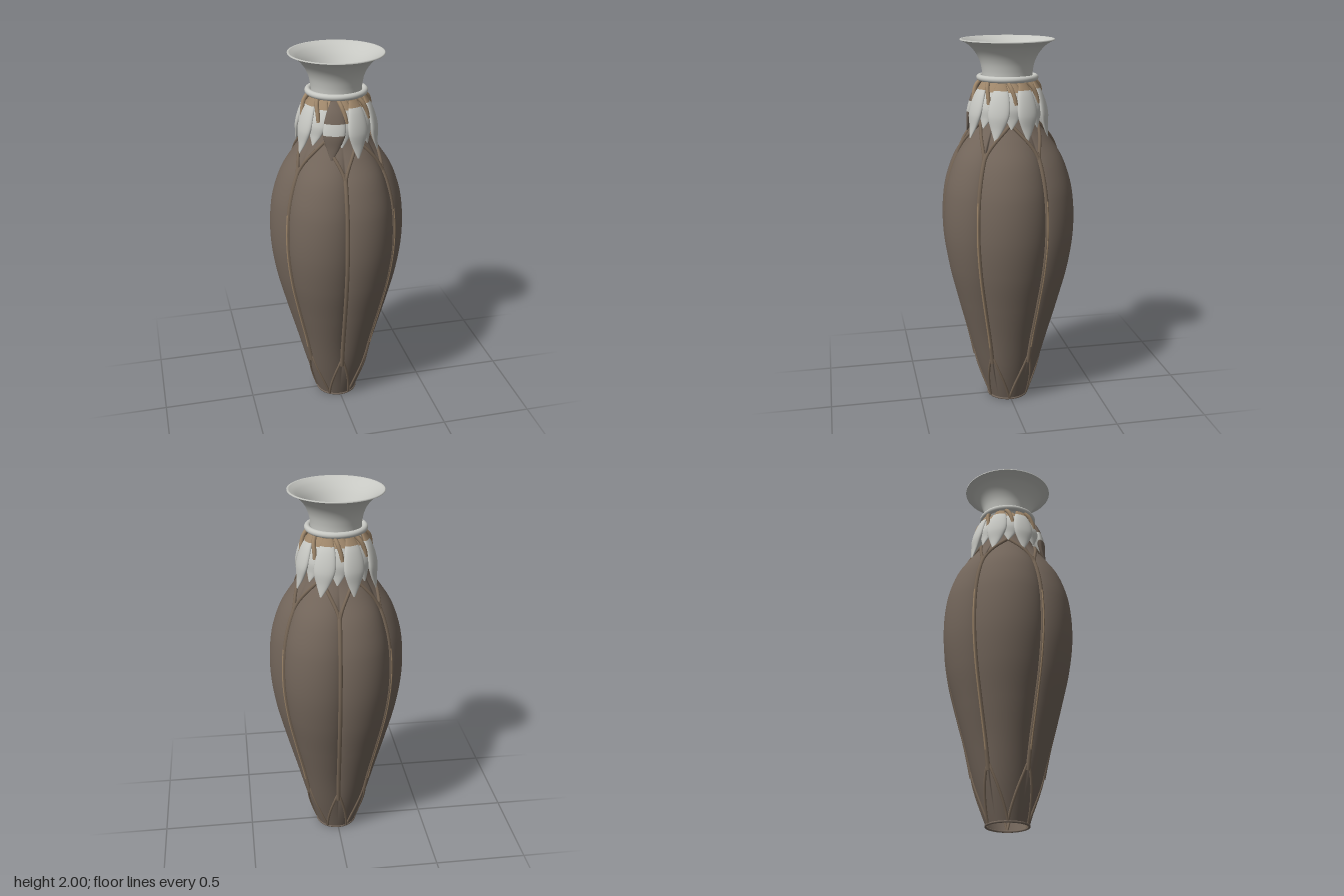
import * as THREE from 'three';
import { ParametricGeometry } from 'three/addons/geometries/ParametricGeometry.js';

const TAU = Math.PI * 2;
const LOBES = 6;
// Groove angles from +z, slightly uneven; the last closes the loop
const GROOVES = [-3.4, 52, 117, 176.6, 232, 297, 356.6].map(d => d * Math.PI / 180);

const smooth = THREE.MathUtils.smoothstep;

// Smooth value along a short list of [position, value] pairs
function curve(pairs) {
  const c = new THREE.CubicInterpolant(pairs.map(p => p[0]), pairs.map(p => p[1]), 1);
  return t => c.evaluate(t)[0];
}

const bodyProfile = curve([
  [0, 0.108], [0.1, 0.14], [0.2, 0.171], [0.4, 0.226], [0.6, 0.282], [0.8, 0.332], [1, 0.358],
  [1.2, 0.349], [1.3, 0.326], [1.4, 0.286], [1.5, 0.22], [1.55, 0.184], [1.6, 0.156], [1.66, 0.135],
]);

// Radius of the six-lobed body at an angle and height
function bodyRadius(angle, y) {
  const a = THREE.MathUtils.euclideanModulo(angle - GROOVES[0], TAU) + GROOVES[0];
  const i = Math.max(0, Math.min(LOBES - 1, GROOVES.findIndex(g => g > a) - 1));
  const lobe = Math.pow(Math.abs(Math.sin(Math.PI * (a - GROOVES[i]) / (GROOVES[i + 1] - GROOVES[i]))), 0.65);
  const swell = smooth(y, 0, 0.45) * (1 - smooth(y, 1.4, 1.62));
  return bodyProfile(y) * (1 - 0.105 * swell * (1 - lobe)) * (1 + 0.022 * swell * Math.cos(a) ** 2);
}

const polar = (a, r, y, target = new THREE.Vector3()) => target.set(Math.sin(a) * r, y, Math.cos(a) * r);

// Petal outline: centre radius and half width from tip (0) to root (1)
const petalRadius = curve([[0, 0.22], [0.2, 0.206], [0.45, 0.195], [0.8, 0.168], [1, 0.142]]);
const petalWidth = curve([[0, 0.004], [0.2, 0.032], [0.45, 0.056], [0.75, 0.048], [1, 0.024]]);

export function createModel() {
  const model = new THREE.Group();
  const material = (name, color, side = THREE.DoubleSide) => {
    const m = new THREE.MeshStandardMaterial({ color, side });
    m.name = name;
    return m;
  };
  const brown = material('brown body', 0x72655a);
  const rib = material('rib brown', 0x766656, THREE.FrontSide);
  const tan = material('tan clay', 0x9e866a);
  const white = material('pale grey', 0xc6c7c2);

  const add = (name, geometry, mat, parent = model) => {
    const mesh = new THREE.Mesh(geometry, mat);
    mesh.name = name;
    parent.add(mesh);
    return mesh;
  };
  const group = name => {
    const g = new THREE.Group();
    g.name = name;
    model.add(g);
    return g;
  };
  const lathe = pts => new THREE.LatheGeometry(pts.map(p => new THREE.Vector2(...p)), 64);

  // Lobed body, hollow and open underneath
  add('body', new ParametricGeometry((u, v, t) => {
    const y = v * 1.66;
    polar(u * TAU, bodyRadius(u * TAU, y), y, t);
  }, 180, 80), brown);
  add('footRim', new THREE.TorusGeometry(0.11, 0.006, 8, 48).rotateX(Math.PI / 2).translate(0, 0.006, 0), brown);

  // Ribs in the grooves, forking around the lobe tips at both ends
  const ribs = group('ribs');
  const tube = (name, pts, r, mat, parent) =>
    add(name, new THREE.TubeGeometry(new THREE.CatmullRomCurve3(pts), 40, r, 8), mat, parent);
  const path = (n, angleAt, y0, y1, lift = 0.004) => Array.from({ length: n }, (_, i) => {
    const y = y0 + (y1 - y0) * i / (n - 1);
    const a = angleAt(i / (n - 1));
    return polar(a, bodyRadius(a, y) + lift, y);
  });
  for (let i = 0; i < LOBES; i++) {
    const a = GROOVES[i];
    const previous = i ? GROOVES[i - 1] : GROOVES[LOBES - 1] - TAU;
    tube('rib', path(16, () => a, 0.25, 1.44, 0.006), 0.012, rib, ribs);
    // Bare clay strand along the side ribs
    if (i % 3) tube('ribStrand', path(12, () => a, 0.35, 1.2, 0.015), 0.005, tan, ribs);
    for (const neighbour of [previous, GROOVES[i + 1]]) {
      const half = (neighbour - a) / 2;
      tube('lowerFork', path(8, t => a + half * (1 - t), 0.01, 0.3, 0.001), 0.007, rib, ribs);
      tube('upperFork', path(8, t => a + half * t * t, 1.38, 1.58), 0.009, rib, ribs);
    }
  }

  // Neck core with a domed top, seen down the mouth
  add('neckCore', lathe([[0.15, 1.58], [0.142, 1.65], [0.136, 1.7], [0.124, 1.735], [0.105, 1.76],
    [0.08, 1.782], [0.05, 1.797], [0.02, 1.804], [0, 1.805]]), tan);

  // Hanging petals, built in bands so each can change colour
  const petals = group('petals');
  const band = (a, v0, v1, mat, tip = 1.5, inset = 0) => add('petal', new ParametricGeometry((u, v, t) => {
    const k = v0 + (v1 - v0) * v;
    const w = petalWidth(k);
    const swirl = a - 0.08 * (1 - k) ** 2;
    const side = w * Math.sin(u * TAU);
    const r = petalRadius(k) - inset + 0.36 * w * Math.cos(u * TAU);
    t.set(Math.sin(swirl) * r + Math.cos(swirl) * side, tip + (1.785 - tip) * k,
      Math.cos(swirl) * r - Math.sin(swirl) * side);
  }, 24, 16), mat, petals);
  for (let i = 0; i < 8; i++) {
    const a = 0.38 + i * TAU / 8;
    if (i === 7) {
      band(a + 0.14, 0, 0.44, brown);
      band(a + 0.14, 0.44, 0.64, white);
      band(a + 0.14, 0.64, 1, brown);
    } else {
      band(a, 0, 0.88, white);
      band(a, 0.88, 1, tan);
    }
    // Shorter inner petal and a stem between neighbours
    const b = a + TAU / 16;
    band(b, 0, 0.8, white, 1.56, 0.022);
    band(b, 0.8, 1, tan, 1.56, 0.022);
    tube('stem', [polar(b - 0.16, 0.142, 1.79), polar(b - 0.06, 0.166, 1.76),
      polar(b + 0.02, 0.178, 1.72), polar(b + 0.06, 0.182, 1.68)], 0.011, tan, petals);
  }

  // Collar ring and flared mouth with a narrowing throat
  add('collar', new THREE.TorusGeometry(0.146, 0.016, 16, 64).rotateX(Math.PI / 2).translate(0, 1.803, 0), white);
  const spline = pts => new THREE.SplineCurve(pts.map(p => new THREE.Vector2(...p))).getPoints(32).map(p => [p.x, p.y]);
  add('mouth', lathe(spline([[0.13, 1.8], [0.133, 1.84], [0.143, 1.885], [0.163, 1.926],
    [0.195, 1.964], [0.226, 1.985], [0.246, 1.994]])), white);
  add('lip', lathe([[0.246, 1.994], [0.246, 1.998], [0.242, 2], [0.236, 1.998]]), white);
  add('throat', lathe(spline([[0.236, 1.998], [0.205, 1.978], [0.17, 1.944], [0.14, 1.9],
    [0.12, 1.86], [0.105, 1.82], [0.083, 1.778]])), white);

  return model;
}
